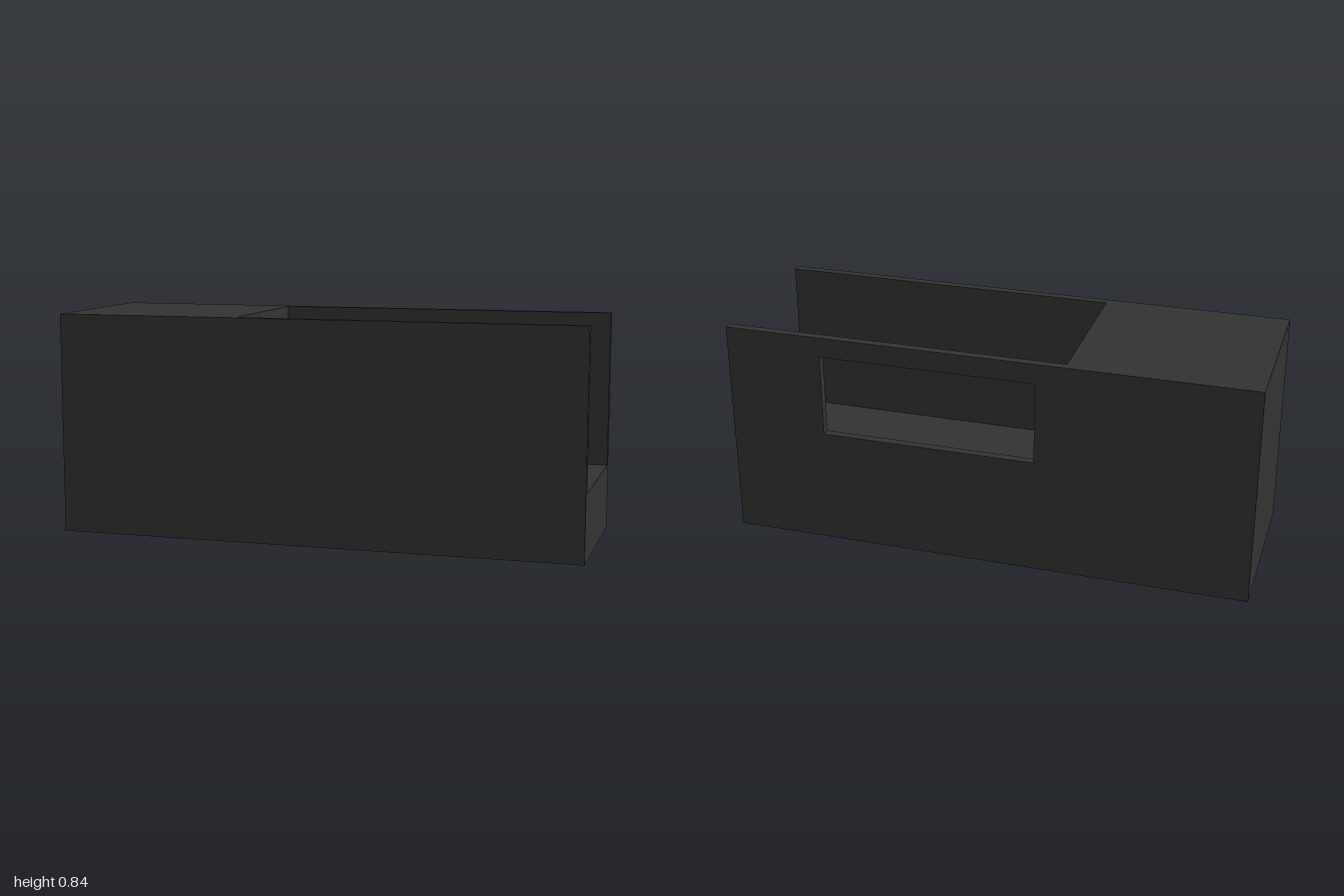
import * as THREE from 'three';

const L = 2, H = 0.84, W = 0.667; // overall length, height, depth
const WALL = 0.033;               // side wall thickness
const FLOOR = 0.25, STEP = -0.3;  // tray floor height, x where the solid block ends

function polygon(points, Type = THREE.Shape) {
  return new Type(points.map(([x, y]) => new THREE.Vector2(x, y)));
}

function rectangle(x0, x1, y0, y1, Type) {
  return polygon([[x0, y0], [x1, y0], [x1, y1], [x0, y1]], Type);
}

export function createModel() {
  const group = new THREE.Group();
  group.name = 'openChannelBlock';
  const charcoal = new THREE.MeshStandardMaterial({ color: 0x333333 });
  charcoal.name = 'charcoal';

  // Extrude an outline in the x-y plane between two depths
  function addSlab(name, shape, z0, z1) {
    const geometry = new THREE.ExtrudeGeometry(shape, { depth: z1 - z0, bevelEnabled: false });
    geometry.translate(0, 0, z0);
    const mesh = new THREE.Mesh(geometry, charcoal);
    mesh.name = name;
    group.add(mesh);
  }

  const x = L / 2, z = W / 2, inner = z - WALL;

  // Solid end block and raised floor as one stepped core
  const core = polygon([[-x, 0], [x, 0], [x, FLOOR], [STEP, FLOOR], [STEP, H], [-x, H]]);
  addSlab('steppedCore', core, -inner, inner);

  // Plain front wall
  addSlab('frontWall', rectangle(-x, x, 0, H), inner, z);

  // Back wall with its window opening
  const back = rectangle(-x, x, 0, H);
  back.holes.push(rectangle(-0.19, 0.63, 0.447, 0.763, THREE.Path));
  addSlab('backWall', back, -z, -inner);

  return group;
}
